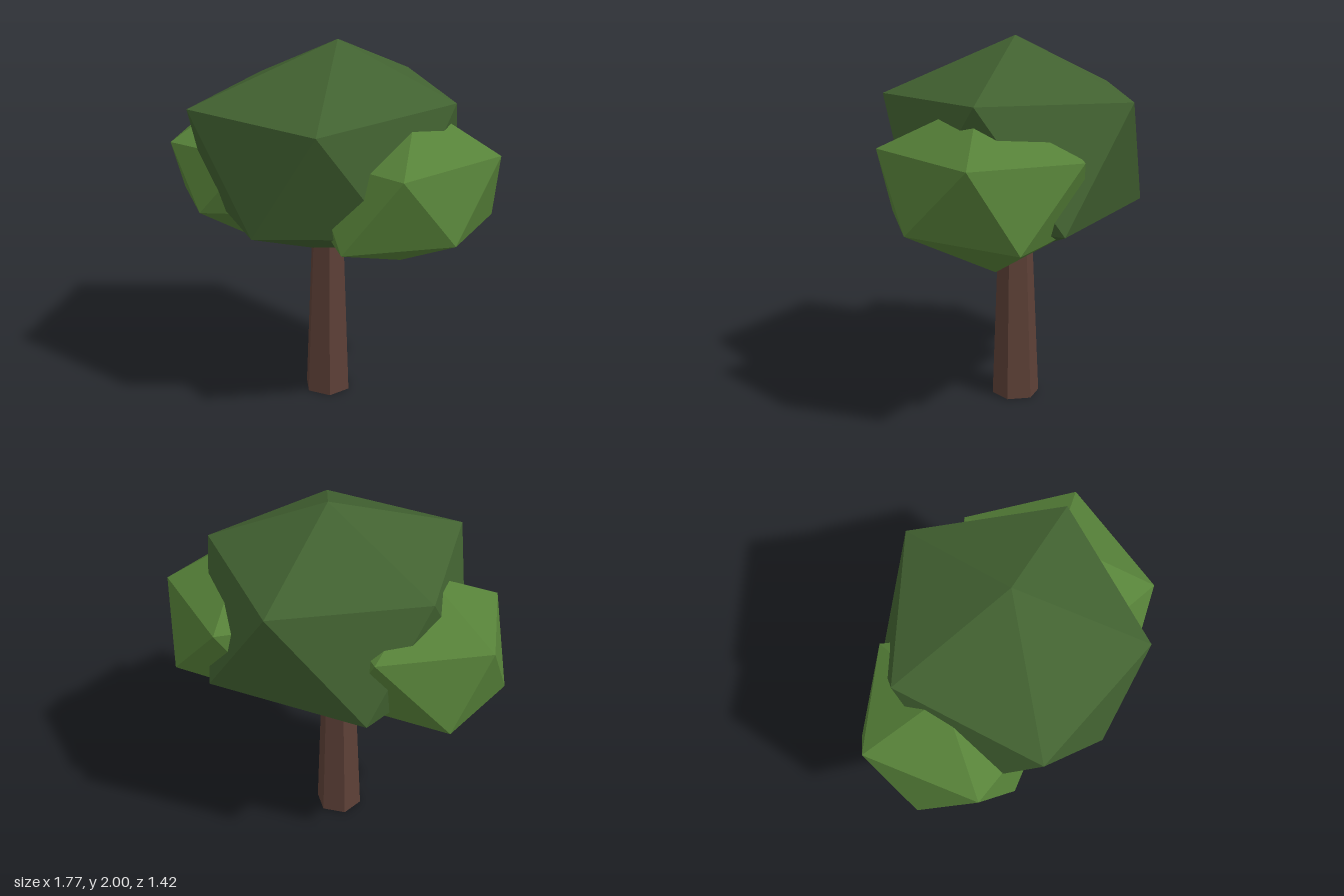
import * as THREE from 'three';

const bark = new THREE.MeshStandardMaterial({ color: 0x5d4037 });
bark.name = 'bark brown';
const darkLeaf = new THREE.MeshStandardMaterial({ color: 0x426231 });
darkLeaf.name = 'dark leaf green';
const lightLeaf = new THREE.MeshStandardMaterial({ color: 0x578239 });
lightLeaf.name = 'light leaf green';

// Irregular icosahedron: a top point, two staggered rings of five, a bottom point.
// Corners are unshared, so the normals stay flat.
function foliage(name, material, top, upper, lower, bottom) {
  const pos = [];
  const tri = (...corners) => corners.forEach((c) => pos.push(...c));
  for (let i = 0; i < 5; i++) {
    const j = (i + 1) % 5;
    tri(top, upper[j], upper[i]);
    tri(upper[i], upper[j], lower[i]);
    tri(lower[i], upper[j], lower[j]);
    tri(lower[i], lower[j], bottom);
  }
  const geometry = new THREE.BufferGeometry();
  geometry.setAttribute('position', new THREE.Float32BufferAttribute(pos, 3));
  geometry.computeVertexNormals();
  const mesh = new THREE.Mesh(geometry, material);
  mesh.name = name;
  return mesh;
}

export function createModel() {
  const tree = new THREE.Group();
  tree.name = 'tree';

  // Tapered six-sided trunk, its top buried in the crown
  const trunkGeometry = new THREE.CylinderGeometry(0.09, 0.13, 1, 6).toNonIndexed();
  trunkGeometry.computeVertexNormals();
  const trunk = new THREE.Mesh(trunkGeometry, bark);
  trunk.name = 'trunk';
  trunk.position.set(0.04, 0.5, 0.01);
  tree.add(trunk);

  // Large central crown
  tree.add(foliage('mainCrown', darkLeaf, [0.07, 2, -0.03],
    [[0.57, 1.69, 0.46], [-0.2, 1.69, 0.71], [-0.62, 1.69, 0], [-0.15, 1.71, -0.68], [0.61, 1.73, -0.37]],
    [[0.24, 1.11, 0.62], [-0.51, 1.09, 0.42], [-0.53, 1.1, -0.37], [0.3, 1.1, -0.68], [0.68, 1.12, 0.06]],
    [0, 0.82, 0]));

  // Smaller clump on the model's right
  tree.add(foliage('rightClump', lightLeaf, [-0.43, 1.7, 0.17],
    [[-0.04, 1.42, 0.46], [-0.52, 1.42, 0.64], [-0.89, 1.46, 0.15], [-0.53, 1.45, -0.32], [-0.04, 1.44, -0.1]],
    [[-0.29, 1.08, 0.61], [-0.77, 1.05, 0.43], [-0.82, 1.05, -0.07], [-0.28, 1.06, -0.28], [0.05, 1.08, 0.2]],
    [-0.43, 0.81, 0.21]));

  // Smaller clump on the model's left
  tree.add(foliage('leftClump', lightLeaf, [0.47, 1.73, -0.23],
    [[0.83, 1.48, 0.14], [0.2, 1.46, 0.25], [-0.12, 1.46, -0.2], [0.2, 1.46, -0.71], [0.78, 1.47, -0.53]],
    [[0.61, 1.08, 0.34], [-0.05, 1.08, 0.08], [0.02, 1.07, -0.5], [0.58, 1.06, -0.68], [0.88, 1.1, -0.16]],
    [0.37, 0.83, -0.23]));

  return tree;
}
